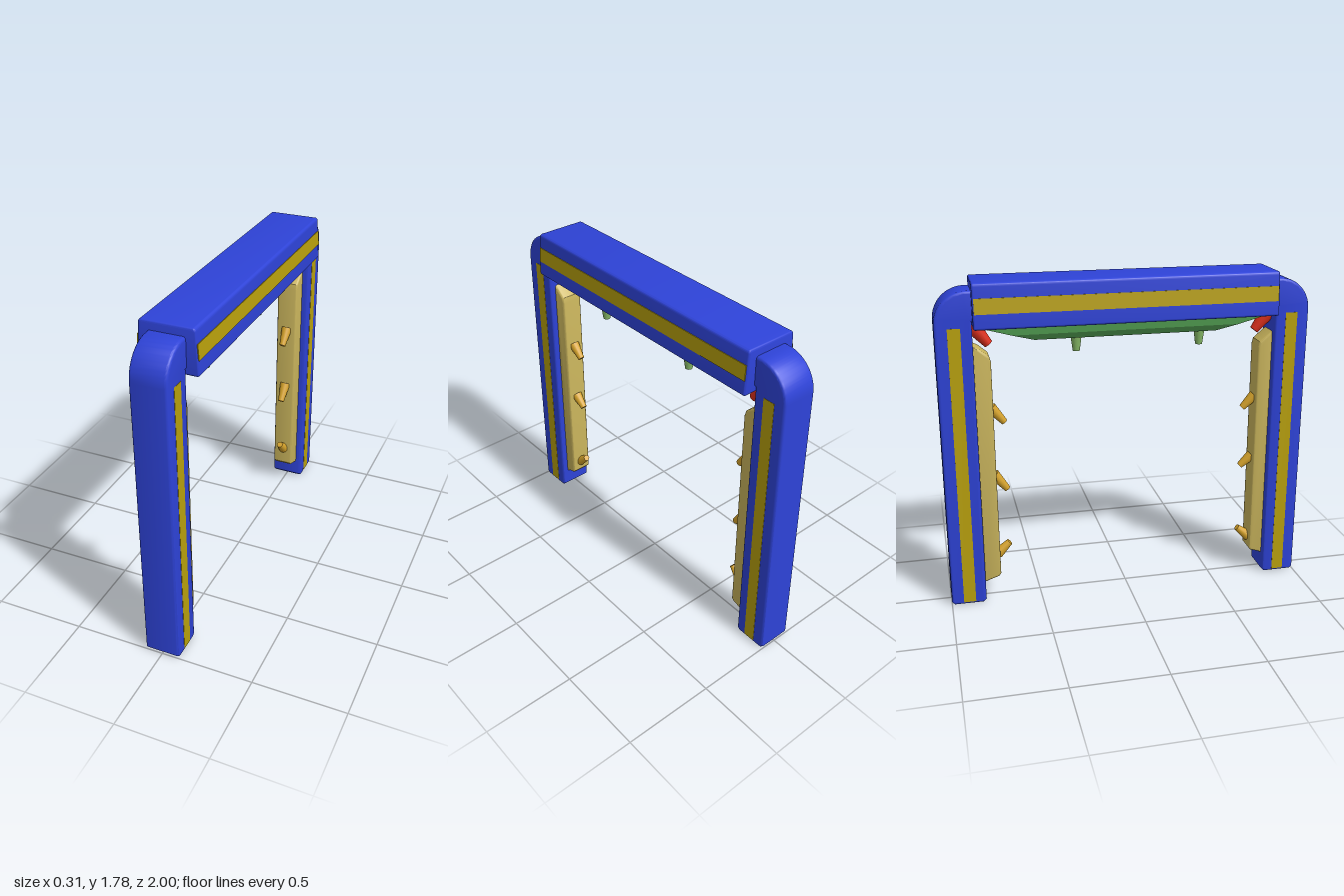
import * as THREE from 'three';
import { toCreasedNormals } from 'three/addons/utils/BufferGeometryUtils.js';

const mat = (color) => new THREE.MeshStandardMaterial({ color });

// Extrudes an outline between -half and +half with rounded edges that keep the outline's size
function roundedExtrude(shape, half, bevel) {
  const geo = new THREE.ExtrudeGeometry(shape, {
    depth: 2 * (half - bevel), bevelEnabled: true, bevelThickness: bevel,
    bevelSize: bevel, bevelOffset: -bevel, bevelSegments: 3, curveSegments: 10,
  });
  geo.translate(0, 0, -(half - bevel));
  return toCreasedNormals(geo, 0.55);
}

// Stacks rectangular rings [halfX, halfZ, y] (bottom to top) into a faceted tray
function tray(rings) {
  const pos = [], idx = [];
  for (const [x, z, y] of rings) pos.push(-x, y, z, x, y, z, x, y, -z, -x, y, -z);
  for (let r = 0; r < rings.length - 1; r++) {
    for (let i = 0; i < 4; i++) {
      const a = r * 4 + i, b = r * 4 + (i + 1) % 4;
      idx.push(a, b, b + 4, a, b + 4, a + 4);
    }
  }
  const t = (rings.length - 1) * 4;
  idx.push(0, 2, 1, 0, 3, 2, t, t + 1, t + 2, t, t + 2, t + 3);
  const geo = new THREE.BufferGeometry();
  geo.setAttribute('position', new THREE.Float32BufferAttribute(pos, 3));
  geo.setIndex(idx);
  return toCreasedNormals(geo, 0.1);
}

export function createModel() {
  const model = new THREE.Group();
  const blue = mat(0x2e43d8), yellow = mat(0xb8a00c), tan = mat(0xc9b45c);
  const amber = mat(0xd6a32a), green = mat(0x5aac5a), lime = mat(0x86b866), red = mat(0xe0301c);

  const add = (parent, name, geo, material) => {
    const mesh = new THREE.Mesh(geo, material);
    mesh.name = name;
    parent.add(mesh);
    return mesh;
  };

  // Tapered nozzle from a base point to a tip point, both [z, y]
  const nozzle = (parent, name, base, tip, rBase, rTip, material) => {
    const a = new THREE.Vector3(0, base[1], base[0]);
    const b = new THREE.Vector3(0, tip[1], tip[0]);
    const dir = b.clone().sub(a);
    const mesh = add(parent, name, new THREE.CylinderGeometry(rTip, rBase, dir.length(), 16), material);
    mesh.position.copy(a).add(b).multiplyScalar(0.5);
    mesh.quaternion.setFromUnitVectors(new THREE.Vector3(0, 1, 0), dir.normalize());
  };

  // Leg outline: upright post that bends inward into the beam
  const legShape = new THREE.Shape();
  legShape.moveTo(0.81, 0.015);
  legShape.lineTo(0.825, 0);
  legShape.lineTo(0.985, 0);
  legShape.lineTo(1, 0.015);
  legShape.lineTo(1, 1.57);
  legShape.absarc(0.83, 1.57, 0.17, 0, Math.PI / 2, false);
  legShape.lineTo(0.74, 1.74);
  legShape.lineTo(0.74, 1.58);
  legShape.lineTo(0.81, 1.58);
  legShape.closePath();
  const legGeo = roundedExtrude(legShape, 0.095, 0.014);
  legGeo.rotateY(-Math.PI / 2);

  // Nozzle positions on each side: [base height, tip height]
  const sides = [
    { name: 'front', s: 1, inner: 0.735, jets: [[1.07, 1.0], [0.71, 0.65], [0.2, 0.26]] },
    { name: 'rear', s: -1, inner: 0.72, jets: [[1.1, 1.015], [0.72, 0.63], [0.245, 0.31]] },
  ];
  for (const { name, s, inner, jets } of sides) {
    const side = new THREE.Group();
    side.name = name + 'Side';
    model.add(side);

    add(side, name + 'Leg', legGeo, blue).rotation.y = s > 0 ? 0 : Math.PI;

    // Stripes on both faces of the leg
    for (const x of [-1, 1]) {
      add(side, name + 'LegStripe', new THREE.BoxGeometry(0.004, 1.54, 0.066), yellow)
        .position.set(x * 0.0945, 0.783, s * 0.902);
    }

    // Bevelled spray panel, facing the passage
    const panelShape = new THREE.Shape();
    const o = inner, d = 0.82;
    panelShape.moveTo(d, 0.10);
    panelShape.lineTo(d, 1.455);
    panelShape.lineTo(o + 0.055, 1.43);
    panelShape.lineTo(o + 0.008, 1.39);
    panelShape.lineTo(o, 1.36);
    panelShape.lineTo(o, 0.145);
    panelShape.lineTo(o + 0.012, 0.13);
    panelShape.lineTo(o + 0.06, 0.115);
    panelShape.closePath();
    const panelGeo = roundedExtrude(panelShape, 0.06, 0.012);
    panelGeo.rotateY(-Math.PI / 2);
    add(side, name + 'SprayPanel', panelGeo, tan).rotation.y = s > 0 ? 0 : Math.PI;

    for (const [yBase, yTip] of jets) {
      nozzle(side, name + 'SideNozzle', [s * (inner + 0.01), yBase], [s * (inner - 0.06), yTip], 0.031, 0.018, amber);
    }

    // Corner nozzle below the end of the beam
    nozzle(side, name + 'CornerNozzle', [s * 0.8, 1.54], [s * 0.725, 1.445], 0.042, 0.024, red);
  }

  // Top beam, slightly wider at the bottom
  const beam = new THREE.Group();
  beam.name = 'topBeam';
  model.add(beam);
  const beamShape = new THREE.Shape();
  beamShape.moveTo(-0.142, 1.55);
  beamShape.lineTo(0.142, 1.55);
  beamShape.quadraticCurveTo(0.157, 1.55, 0.156, 1.565);
  beamShape.lineTo(0.142, 1.768);
  beamShape.quadraticCurveTo(0.141, 1.785, 0.124, 1.785);
  beamShape.lineTo(-0.124, 1.785);
  beamShape.quadraticCurveTo(-0.141, 1.785, -0.142, 1.768);
  beamShape.lineTo(-0.156, 1.565);
  beamShape.quadraticCurveTo(-0.157, 1.55, -0.142, 1.55);
  add(beam, 'beamHousing', roundedExtrude(beamShape, 0.807, 0.01), blue);
  for (const x of [-1, 1]) {
    const stripe = add(beam, 'beamStripe', new THREE.BoxGeometry(0.006, 0.08, 1.6), yellow);
    stripe.position.set(x * 0.1494, 1.67, 0);
    stripe.rotation.z = x * 0.069;
  }

  // Overhead spray tray and its nozzles
  add(beam, 'overheadTray', tray([[0.05, 0.49, 1.465], [0.077, 0.61, 1.5], [0.092, 0.8, 1.556]]), green);
  for (const z of [0.41, -0.265]) {
    nozzle(beam, 'overheadNozzle', [z, 1.475], [z, 1.385], 0.031, 0.019, lime);
  }
  return model;
}
